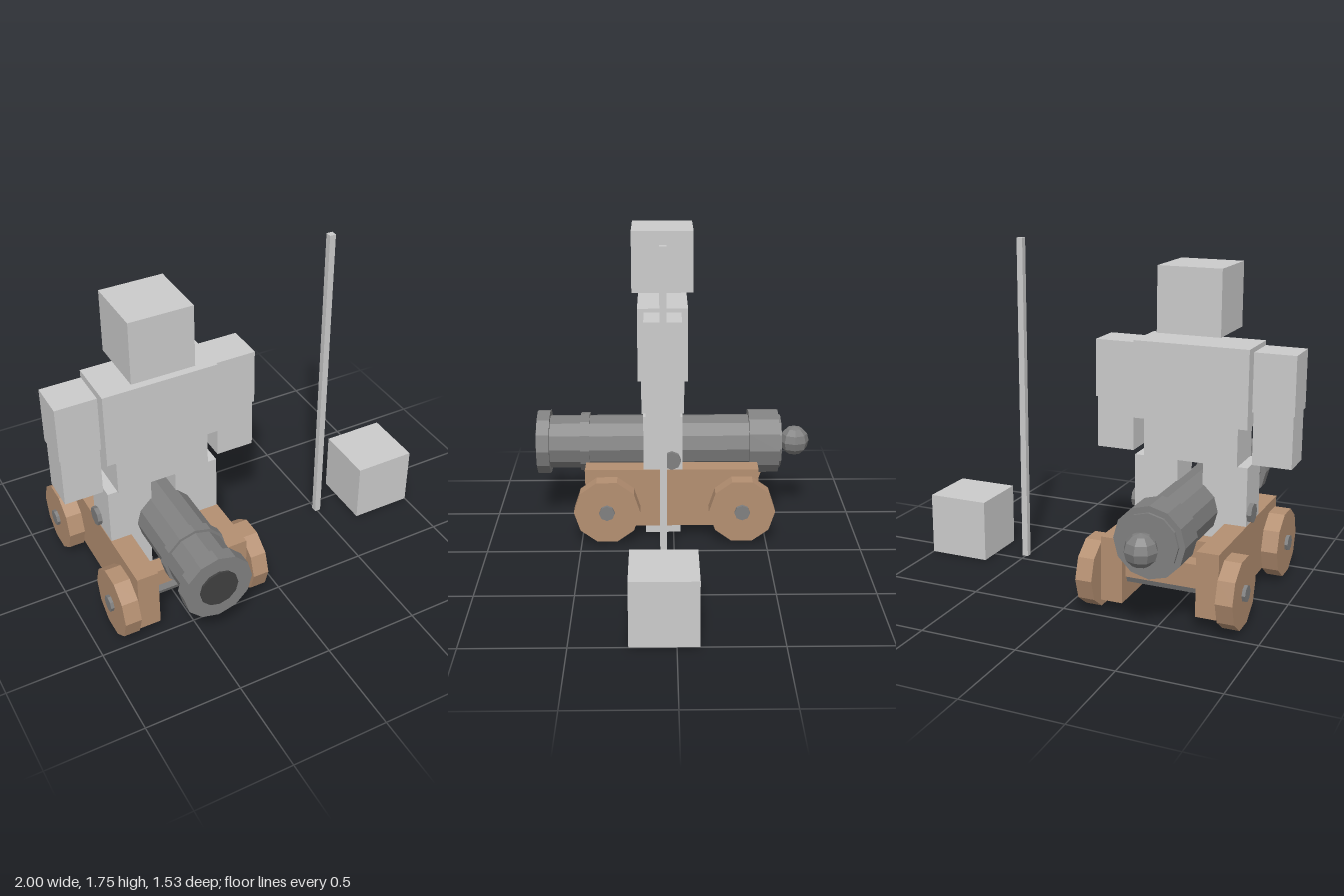
import * as THREE from 'three';

export function createModel() {
  const model = new THREE.Group();
  const mat = (color) => new THREE.MeshStandardMaterial({ color, flatShading: true });
  const grey = mat(0xcccccc), wood = mat(0xb48f71), iron = mat(0x808080), dark = mat(0x404040);
  const CX = -0.485; // centre line of the cannon and figure
  const FZ = 0.058;  // depth centre of the figure

  const add = (parent, name, geometry, material, x, y, z) => {
    const mesh = new THREE.Mesh(geometry, material);
    mesh.name = name;
    mesh.position.set(x, y, z);
    parent.add(mesh);
    return mesh;
  };
  // box given by centre x and z, bottom and top
  const block = (parent, name, material, x, y0, y1, z, w, d) =>
    add(parent, name, new THREE.BoxGeometry(w, y1 - y0, d), material, x, (y0 + y1) / 2, z);
  // cylinder lying along x
  const rodX = (parent, name, material, r, x0, x1, y, z, sides) =>
    add(parent, name, new THREE.CylinderGeometry(r, r, x1 - x0, sides).rotateZ(Math.PI / 2),
      material, (x0 + x1) / 2, y, z);
  // cylinder lying along z
  const rodZ = (parent, name, material, r, z0, z1) =>
    add(parent, name, new THREE.CylinderGeometry(r, r, z1 - z0, 12).rotateX(Math.PI / 2),
      material, CX, 0.45, (z0 + z1) / 2);

  // blocky figure
  const figure = new THREE.Group();
  figure.name = 'figure';
  model.add(figure);
  block(figure, 'head', grey, CX, 1.34, 1.667, FZ, 0.327, 0.327);
  block(figure, 'chest', grey, CX, 0.893, 1.287, FZ, 0.595, 0.265);
  block(figure, 'waist', grey, CX, 0.695, 0.893, FZ, 0.49, 0.23);
  for (const [side, s] of [['left', 1], ['right', -1]]) {
    block(figure, side + 'UpperArm', grey, CX + s * 0.413, 0.975, 1.27, FZ, 0.21, 0.195);
    block(figure, side + 'Forearm', grey, CX + s * 0.412, 0.71, 0.975, FZ, 0.198, 0.18);
    block(figure, side + 'Thigh', grey, CX + s * 0.182, 0.36, 0.695, FZ, 0.23, 0.21);
    block(figure, side + 'Shin', grey, CX + s * 0.182, 0.02, 0.36, FZ, 0.21, 0.19);
  }

  // barrel with its bands, bore and end knob
  const cannon = new THREE.Group();
  cannon.name = 'cannon';
  model.add(cannon);
  rodZ(cannon, 'barrel', iron, 0.15, -0.6, 0.7);
  rodZ(cannon, 'muzzleFlange', iron, 0.18, 0.685, 0.755);
  rodZ(cannon, 'bore', dark, 0.1, 0.6, 0.765);
  rodZ(cannon, 'barrelRing', iron, 0.165, 0.465, 0.515);
  rodZ(cannon, 'breechBand', iron, 0.18, -0.585, -0.42);
  rodX(cannon, 'trunnion', iron, 0.05, -0.805, -0.165, 0.45, 0.01, 8);
  add(cannon, 'breechKnob', new THREE.SphereGeometry(0.083, 8, 6), iron, CX, 0.45, -0.683);

  // wooden carriage
  const carriage = new THREE.Group();
  carriage.name = 'carriage';
  model.add(carriage);
  for (const s of [-1, 1])
    block(carriage, 'sidePanel', wood, CX + s * 0.244, 0.065, 0.393, 0.01, 0.112, 0.94);
  for (const z of [0.347, -0.078, -0.378])
    block(carriage, 'crossBeam', wood, CX, 0.19, 0.31, z, 0.4, 0.085);
  for (const z of [0.36, -0.367]) {
    rodX(carriage, 'axle', iron, 0.042, -0.9, -0.07, 0.186, z, 8);
    for (const s of [-1, 1]) {
      const x = CX + s * 0.355;
      rodX(carriage, 'wheel', wood, 0.179, x - 0.0425, x + 0.0425, 0.186, z, 10);
    }
  }

  // standing pole and loose cube
  block(model, 'pole', grey, 0.503, 0, 1.747, FZ, 0.033, 0.033);
  block(model, 'looseCube', grey, 0.835, 0, 0.33, FZ, 0.33, 0.327);
  return model;
}
